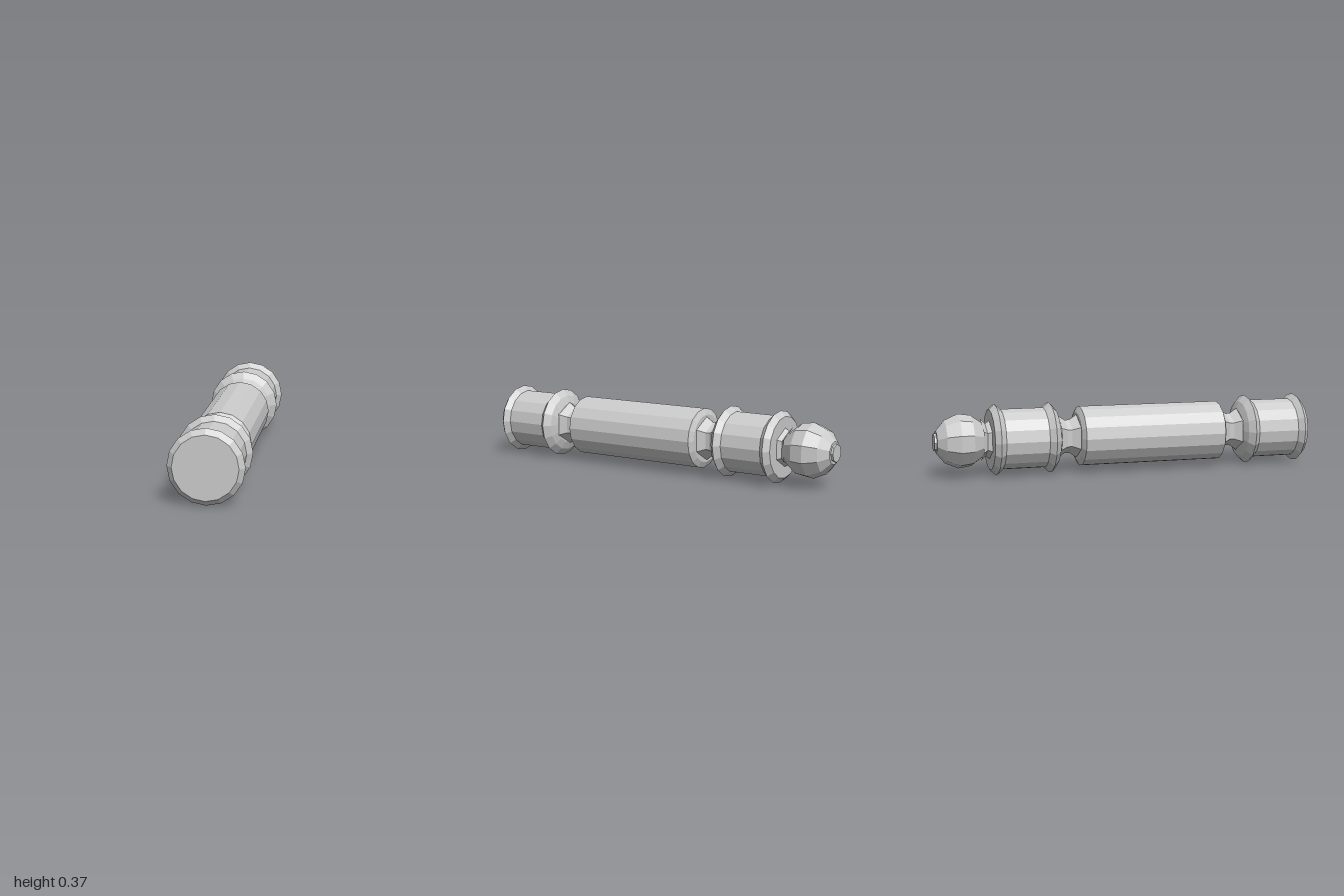
import * as THREE from 'three';

const AXIS_Y = 0.184;

export function createModel() {
  const group = new THREE.Group();
  group.name = 'turnedSpindle';
  const material = new THREE.MeshStandardMaterial({ color: 0xcccccc, flatShading: true });

  // Turn a profile of [z, radius] pairs, ordered back to front, around the long axis
  function turned(name, sides, profile) {
    const points = profile.map(([z, r]) => new THREE.Vector2(r, z));
    const geometry = new THREE.LatheGeometry(points, sides);
    geometry.rotateX(Math.PI / 2);
    const mesh = new THREE.Mesh(geometry, material);
    mesh.name = name;
    mesh.position.y = AXIS_Y;
    group.add(mesh);
  }

  const R = 0.156; // shaft radius
  const RIM = 0.183; // collar radius

  // Front drum with a rim at each end
  turned('frontDrum', 16, [
    [0.645, 0], [0.645, 0.11], [0.66, 0.15], [0.69, RIM], [0.72, R],
    [0.945, R], [0.973, RIM], [1, R], [1, 0],
  ]);

  // Long central shaft with small bevels
  turned('shaft', 16, [
    [-0.252, 0], [-0.252, 0.125], [-0.237, R], [0.525, R], [0.54, 0.125], [0.54, 0],
  ]);

  // Rear drum with a rim at each end
  turned('rearDrum', 16, [
    [-0.713, 0], [-0.713, R], [-0.685, RIM], [-0.655, R],
    [-0.43, R], [-0.4, RIM], [-0.37, 0.15], [-0.355, 0.11], [-0.355, 0],
  ]);

  // Six-sided waisted necks between the sections
  for (const [name, z] of [['frontNeck', 0.593], ['rearNeck', -0.304]]) {
    turned(name, 6, [[z - 0.055, 0.115], [z - 0.012, 0.087], [z + 0.012, 0.087], [z + 0.055, 0.115]]);
  }
  turned('finialNeck', 6, [[-0.76, 0.11], [-0.735, 0.085], [-0.71, 0.1]]);

  // Faceted ball and its small button
  turned('finialBall', 10, [
    [-0.988, 0], [-0.988, 0.058], [-0.945, 0.11], [-0.875, 0.14],
    [-0.81, 0.131], [-0.74, 0.08], [-0.735, 0],
  ]);
  turned('finialTip', 8, [[-1, 0], [-1, 0.045], [-0.97, 0.045]]);

  return group;
}
